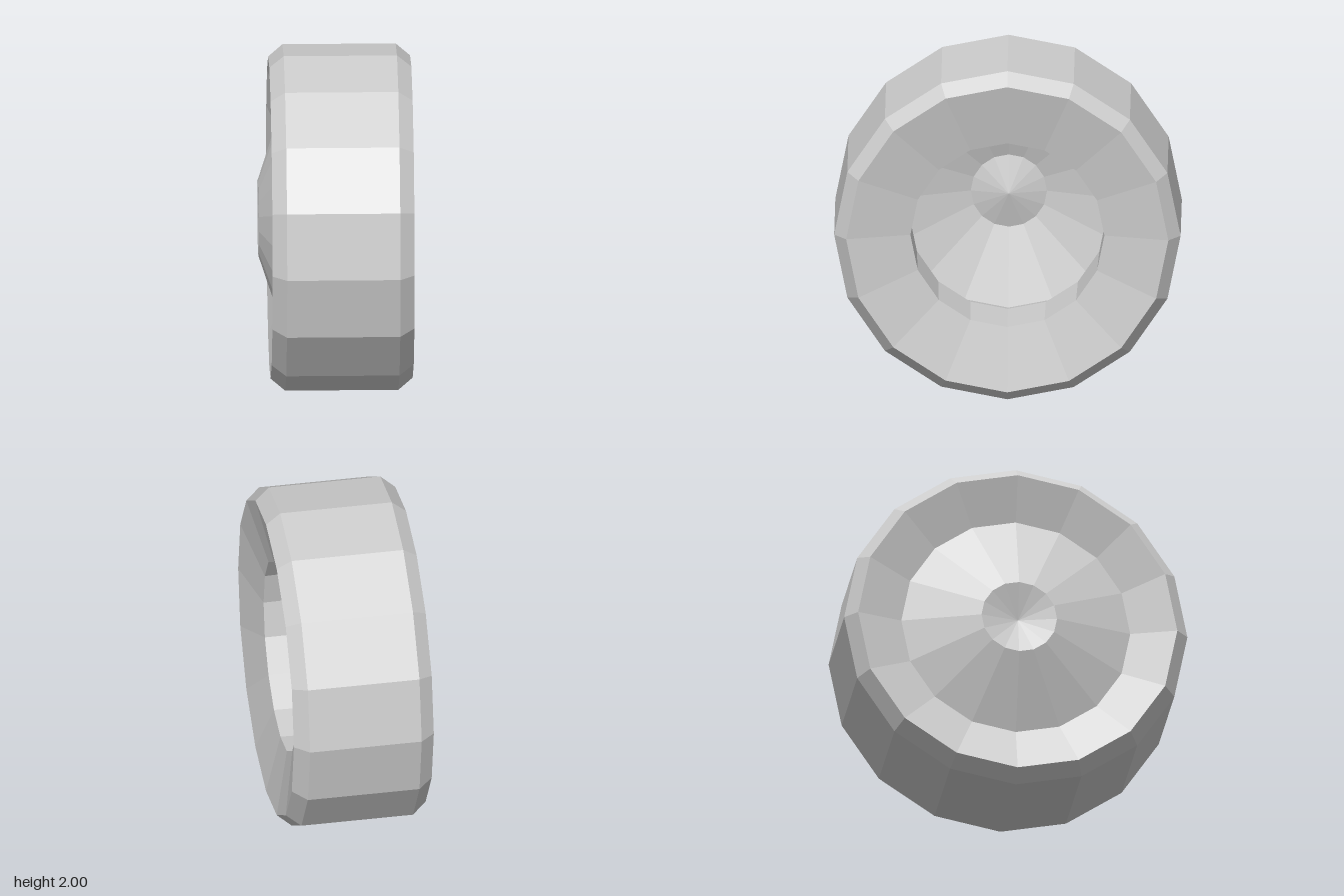
import * as THREE from 'three';

const SIDES = 16;

// Revolves a profile of [x, radius] points around the axle (the x axis)
function revolve(name, profile, material) {
  const points = profile.map(([x, r]) => new THREE.Vector2(r, x));
  const geometry = new THREE.LatheGeometry(points, SIDES);
  geometry.rotateZ(-Math.PI / 2);
  const mesh = new THREE.Mesh(geometry, material);
  mesh.name = name;
  mesh.position.y = 1;
  return mesh;
}

export function createModel() {
  const group = new THREE.Group();
  group.name = 'wheel';

  const grey = new THREE.MeshStandardMaterial({
    color: 0xcccccc, flatShading: true, side: THREE.DoubleSide,
  });
  grey.name = 'light grey';

  // Tyre: dished sidewalls, bevelled shoulders and flat tread
  group.add(revolve('tyre', [
    [-0.297, 0.667], [-0.38, 0.93], [-0.297, 1],
    [0.357, 1], [0.44, 0.93], [0.356, 0.56],
  ], grey));

  // Rim: the open well behind the +x sidewall, widening towards the hub
  group.add(revolve('rim', [
    [0.356, 0.56], [0, 0.57], [-0.17, 0.62], [-0.297, 0.667],
  ], grey));

  // Hub: thin bulging disc with a dimple in its centre
  group.add(revolve('hub', [
    [-0.39, 0], [-0.445, 0.22], [-0.297, 0.667],
  ], grey));

  return group;
}
